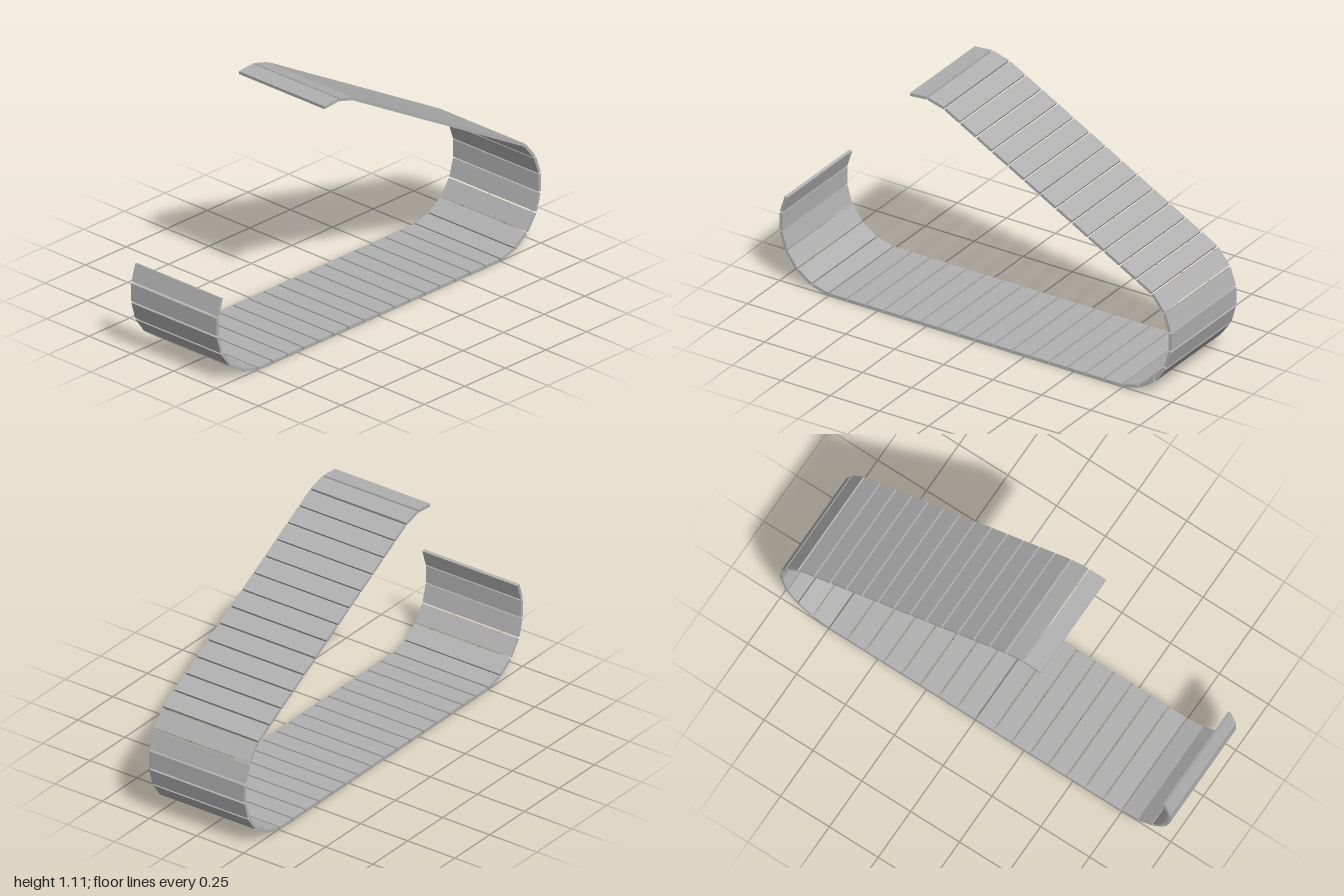
import * as THREE from 'three';

const WIDTH = 0.505, THICKNESS = 0.014, GAP = 0.008;

// Hinge points of the track in side profile, from the left end round to the upper end
function trackHinges() {
  const hinges = [
    [-0.965, 0.42], [-0.992, 0.335], [-0.992, 0.245],
    [-0.967, 0.158], [-0.912, 0.082], [-0.835, 0.03],
  ];
  // flat ground run: 16 plates
  for (let i = 0; i <= 16; i++) hinges.push([-0.749 + i * 0.0936, 0.008]);
  // front bend
  hinges.push([0.835, 0.03], [0.912, 0.082], [0.967, 0.158],
    [0.992, 0.245], [0.992, 0.335], [0.962, 0.422]);
  // sloping run: 13 plates
  for (let i = 0; i <= 13; i++) hinges.push([0.9 - i * 0.0815, 0.498 + i * 0.0449]);
  // upper end
  hinges.push([-0.246, 1.106], [-0.338, 1.098]);
  return hinges;
}

export function createModel() {
  const model = new THREE.Group();
  model.name = 'trackBand';
  const steel = new THREE.MeshStandardMaterial({ color: 0xb0b0b0 });
  steel.name = 'greySteel';

  // One flat plate between each pair of neighbouring hinges
  const hinges = trackHinges();
  for (let i = 0; i < hinges.length - 1; i++) {
    const [x0, y0] = hinges[i], [x1, y1] = hinges[i + 1];
    const length = Math.hypot(x1 - x0, y1 - y0) - GAP;
    const plate = new THREE.Mesh(new THREE.BoxGeometry(length, THICKNESS, WIDTH), steel);
    plate.name = `trackPlate${i + 1}`;
    plate.position.set((x0 + x1) / 2, (y0 + y1) / 2, 0);
    plate.rotation.z = Math.atan2(y1 - y0, x1 - x0);
    model.add(plate);
  }
  return model;
}
